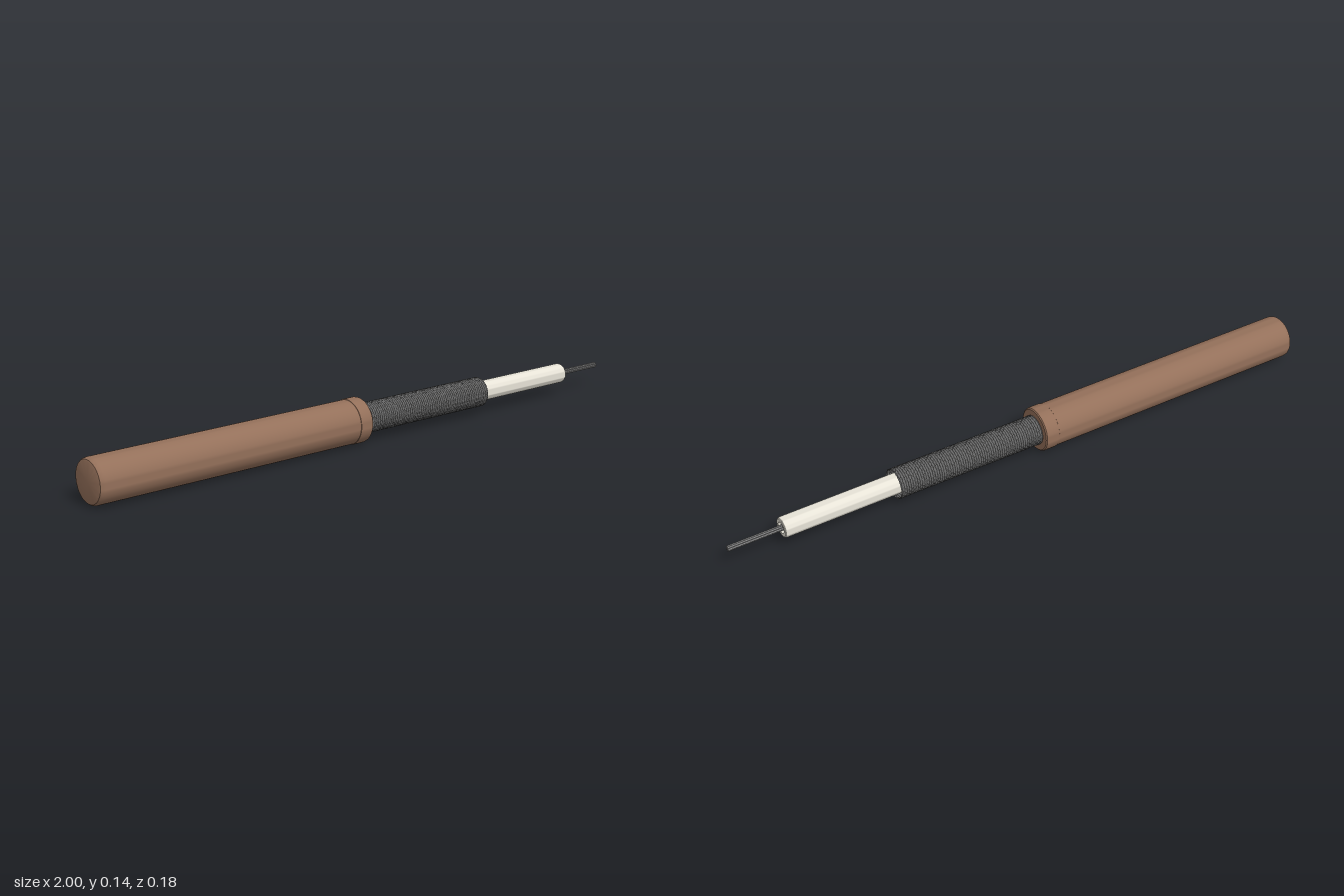
import * as THREE from 'three';
import { toCreasedNormals } from 'three/addons/utils/BufferGeometryUtils.js';

const mat = (color, side = THREE.FrontSide) => new THREE.MeshStandardMaterial({ color, side });

// Solid of revolution along x from [radius, x] pairs
function turned(name, profile, material, segments = 48) {
  const pts = profile.map(([r, x]) => new THREE.Vector2(r, x));
  const geo = toCreasedNormals(new THREE.LatheGeometry(pts, segments).rotateZ(-Math.PI / 2), 0.6);
  const mesh = new THREE.Mesh(geo, material);
  mesh.name = name;
  return mesh;
}

// Woven sleeve: two sets of helical ribbons passing over and under each other
function braid(x0, x1, radius, count, turns, width, material) {
  const group = new THREE.Group();
  group.name = 'braidedShield';
  const steps = 280, wave = 0.0014, tau = Math.PI * 2;
  const slope = (tau * turns * radius) / (x1 - x0);
  const halfAngle = width / 2 * Math.sqrt(1 + slope * slope) / radius;
  for (const dir of [1, -1]) {
    const pos = [], idx = [];
    for (let i = 0; i < count; i++) {
      const base = pos.length / 3;
      for (let s = 0; s <= steps; s++) {
        const t = s / steps;
        const angle = tau * (i / count + dir * turns * t);
        const crossing = i + i + dir * 2 * turns * t * count;
        const r = radius + dir * wave * Math.cos(Math.PI * crossing);
        for (const e of [-1, 1]) {
          const a = angle + e * halfAngle;
          pos.push(x0 + (x1 - x0) * t, r * Math.cos(a), r * Math.sin(a));
        }
        if (s < steps) {
          const a = base + s * 2;
          idx.push(a, a + 1, a + 2, a + 1, a + 3, a + 2);
        }
      }
    }
    const geo = new THREE.BufferGeometry();
    geo.setAttribute('position', new THREE.Float32BufferAttribute(pos, 3));
    geo.setIndex(idx);
    geo.computeVertexNormals();
    const mesh = new THREE.Mesh(geo, material);
    mesh.name = dir > 0 ? 'braidRightHand' : 'braidLeftHand';
    group.add(mesh);
  }
  return group;
}

export function createModel() {
  const root = new THREE.Group();
  root.name = 'strippedCable';
  const cable = new THREE.Group();
  cable.name = 'cable';
  root.add(cable);

  const brown = mat(0x94705a);
  const ivory = mat(0xe8e4d8);
  const shield = mat(0x666666, THREE.DoubleSide);
  const steel = mat(0x808080);

  // Outer jacket with rounded closed end
  cable.add(turned('jacket', [
    [0, -0.998], [0.058, -0.998], [0.064, -0.996], [0.0675, -0.991],
    [0.069, -0.982], [0.069, -0.06], [0, -0.06],
  ], brown));

  // Raised lip where the jacket is cut back
  cable.add(turned('jacketCollar', [
    [0.066, -0.088], [0.070, -0.085], [0.071, -0.079], [0.071, -0.047],
    [0.0695, -0.041], [0.066, -0.038], [0.047, -0.038], [0.045, -0.055], [0, -0.055],
  ], brown));

  cable.add(braid(-0.055, 0.458, 0.0465, 20, 1.7, 0.0094, shield));

  // Inner insulation with a shallow recess around the conductor
  cable.add(turned('insulation', [
    [0.032, -0.06], [0.032, 0.823], [0.0305, 0.828], [0.028, 0.83],
    [0.018, 0.83], [0.012, 0.818], [0, 0.818],
  ], ivory));

  // Seven-strand conductor
  const conductor = new THREE.Group();
  conductor.name = 'conductor';
  const strandGeo = new THREE.CylinderGeometry(0.003, 0.003, 0.19, 12).rotateZ(-Math.PI / 2);
  for (let i = 0; i < 7; i++) {
    const strand = new THREE.Mesh(strandGeo, steel);
    const a = i * Math.PI / 3, r = i < 6 ? 0.006 : 0;
    strand.position.set(0.905, r * Math.sin(a), r * Math.cos(a));
    strand.name = 'strand';
    conductor.add(strand);
  }
  cable.add(conductor);

  // Cable lies slightly skewed
  cable.rotation.y = -Math.atan(0.044);
  cable.position.set(0, 0.071, 0.022);
  return root;
}
